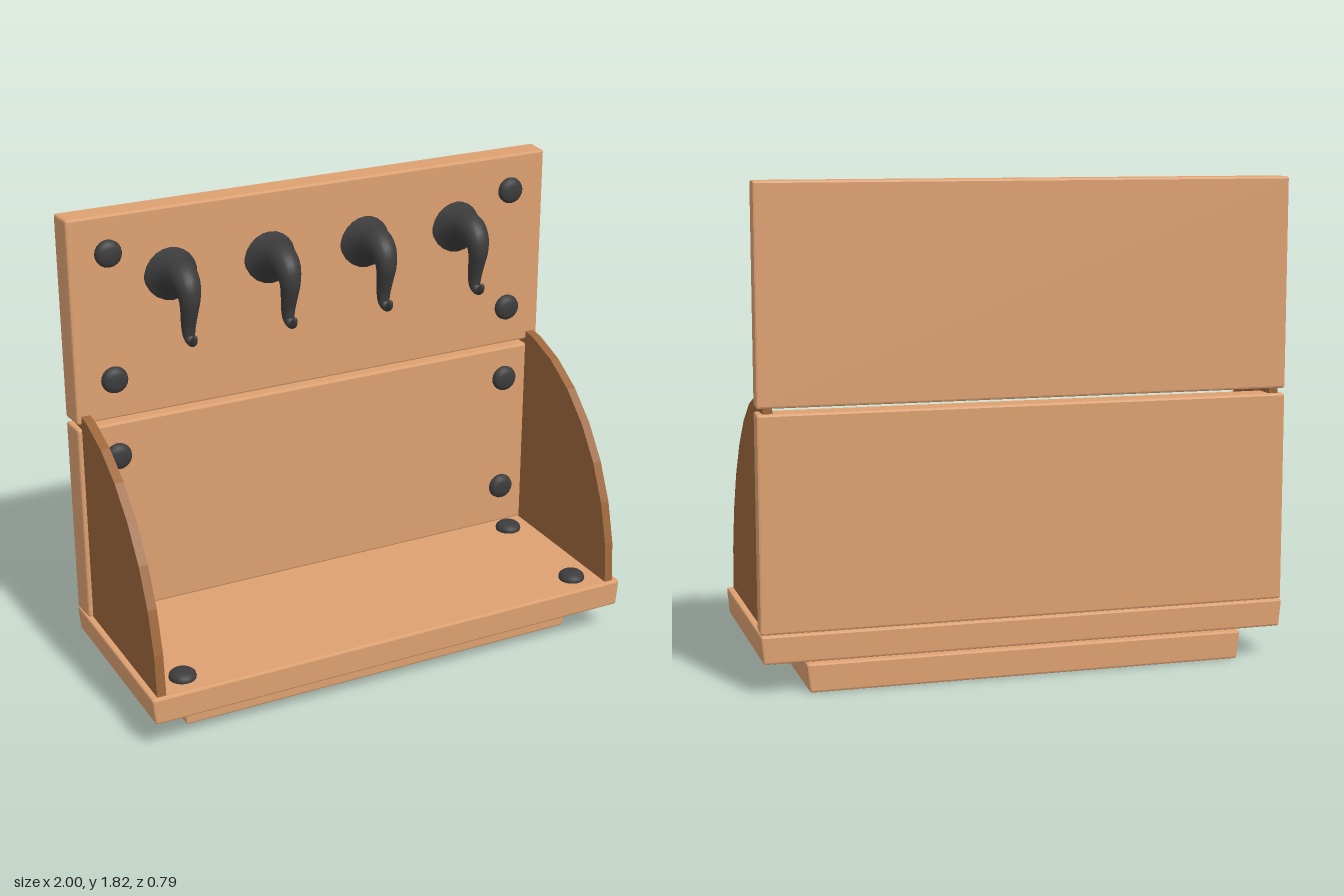
import * as THREE from 'three';
import { RoundedBoxGeometry } from 'three/addons/geometries/RoundedBoxGeometry.js';
import { ParametricGeometry } from 'three/addons/geometries/ParametricGeometry.js';

const wood = new THREE.MeshStandardMaterial({ color: 0xdca070, flatShading: true });
const darkWood = new THREE.MeshStandardMaterial({ color: 0x9c663a, flatShading: true });
const iron = new THREE.MeshStandardMaterial({ color: 0x3c3c3c });

// Board with a fine chamfer; its ends taper by `taper` towards the low side (-y)
function board(name, w, h, d, taper) {
  const geo = new RoundedBoxGeometry(w, h, d, 1, 0.008);
  const p = geo.attributes.position;
  for (let i = 0; i < p.count; i++) {
    const k = 0.5 - p.getY(i) / h;
    p.setX(i, p.getX(i) * (1 - (2 * taper * k) / w));
  }
  const mesh = new THREE.Mesh(geo, wood);
  mesh.name = name;
  return mesh;
}

// Quarter-ellipse side panel, drawn in (z, y)
function sidePanelGeometry() {
  const back = -0.37, base = 0.21, thick = 0.035, steps = 8;
  const shape = new THREE.Shape();
  shape.moveTo(back, base);
  shape.lineTo(0.38, base);
  for (let i = 0; i <= steps; i++) {
    const a = (i / steps) * Math.PI / 2;
    shape.lineTo(back + 0.75 * Math.cos(a), 0.22 + 0.855 * Math.sin(a));
  }
  shape.closePath();
  const geo = new THREE.ExtrudeGeometry(shape, { depth: thick, bevelEnabled: false });
  geo.translate(0, 0, -thick / 2);
  geo.rotateY(-Math.PI / 2);
  return geo;
}

// Tapering horn-shaped hook: each station is (radius, y, z)
function hookGeometry() {
  const stations = [
    [0.107, 0, -0.283], [0.088, 0.005, -0.258], [0.067, 0.013, -0.215],
    [0.056, 0.018, -0.16], [0.048, -0.005, -0.12], [0.04, -0.05, -0.105],
    [0.033, -0.1, -0.112], [0.027, -0.16, -0.125], [0.022, -0.2, -0.122],
    [0.016, -0.216, -0.1], [0.012, -0.207, -0.076], [0.008, -0.185, -0.065],
    [0.001, -0.175, -0.064],
  ].map((s) => new THREE.Vector3(...s));
  const curve = new THREE.CatmullRomCurve3(stations);
  const s = new THREE.Vector3(), t = new THREE.Vector3();
  return new ParametricGeometry((u, v, out) => {
    curve.getPoint(u, s);
    curve.getTangent(u, t);
    const len = Math.hypot(t.y, t.z) || 1;
    const a = v * Math.PI * 2, r = Math.max(s.x, 0.001), n = r * Math.cos(a);
    out.set(r * Math.sin(a), s.y + (n * t.z) / len, s.z - (n * t.y) / len);
  }, 48, 20);
}

export function createModel() {
  const model = new THREE.Group();
  const add = (name, geo, mat, x, y, z, rx = 0) => {
    const mesh = new THREE.Mesh(geo, mat);
    mesh.name = name;
    mesh.position.set(x, y, z);
    mesh.rotation.x = rx;
    model.add(mesh);
  };

  // Foot rail and shelf
  const foot = board('footRail', 1.67, 0.108, 0.655, 0.012);
  foot.position.set(0, 0.054, -0.0575);
  const shelf = board('shelf', 2, 0.105, 0.79, 0.01);
  shelf.position.set(0, 0.17, 0);
  model.add(foot, shelf);

  // Two back planks, tapering towards the front
  [['lowerBackPlank', 0.617], ['upperBackPlank', 1.427]].forEach(([name, y]) => {
    const plank = board(name, 2, 0.105, 0.79, 0.008);
    plank.rotation.x = -Math.PI / 2;
    plank.position.set(0, y, -0.3325);
    model.add(plank);
  });

  // Side panels
  const panel = sidePanelGeometry();
  add('leftSidePanel', panel, darkWood, 0.958, 0, 0);
  add('rightSidePanel', panel, darkWood, -0.958, 0, 0);

  // Domed bolts on the back planks and the shelf
  const profile = [[0.05, -0.005], [0.052, 0.007], [0.049, 0.018], [0.04, 0.026], [0.024, 0.031], [0, 0.032]];
  const bolt = new THREE.LatheGeometry(profile.map(([x, y]) => new THREE.Vector2(x, y)), 20);
  for (const x of [-0.84, 0.84]) {
    for (const y of [0.39, 0.88, 1.19, 1.68]) add('backBolt', bolt, iron, x, y, -0.28, Math.PI / 2);
    for (const z of [-0.2, 0.29]) add('shelfBolt', bolt, iron, x, 0.222, z);
  }

  // Row of four hooks
  const hook = hookGeometry();
  for (const x of [-0.6, -0.2, 0.2, 0.6]) add('hook', hook, iron, x, 1.572, 0);

  return model;
}
